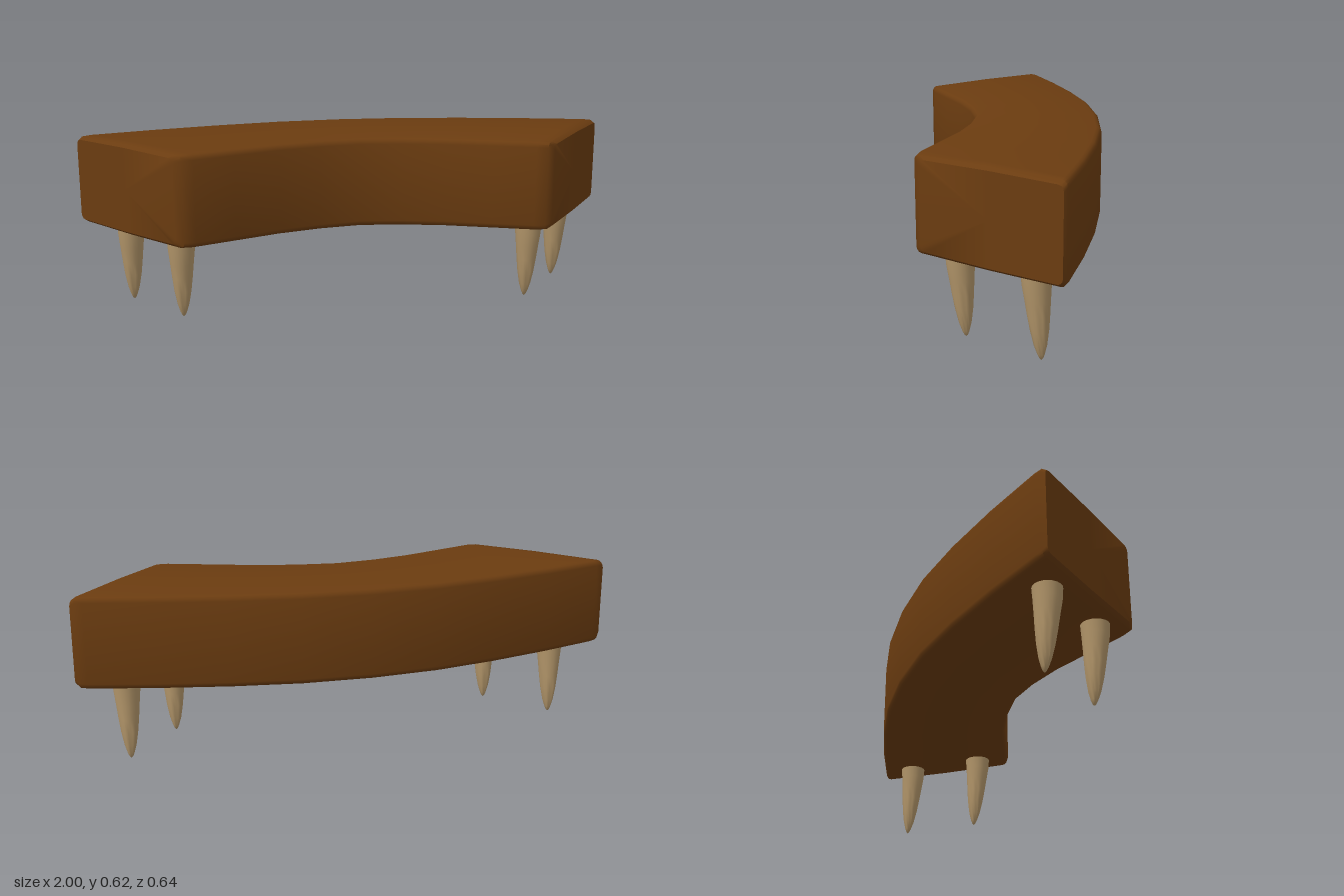
import * as THREE from 'three';
import { toCreasedNormals } from 'three/addons/utils/BufferGeometryUtils.js';

// Half plan of the seat, centre to end: [backX, backZ, frontX, frontZ, half height]
const PLAN = [
  [0, -0.32, 0, 0.135, 0.165],
  [0.25, -0.306, 0.15, 0.155, 0.165],
  [0.49, -0.265, 0.3, 0.195, 0.165],
  [0.73, -0.208, 0.46, 0.257, 0.165],
  [0.96, -0.142, 0.6, 0.311, 0.165],
  [0.988, -0.132, 0.64, 0.32, 0.163],
  [1.0, -0.12, 0.67, 0.305, 0.152],
];
const CENTRE_Y = 0.455;

// Rounded, slightly crowned section as [signed depth, signed height], front to top to back
function sectionPoints(halfDepth, halfHeight) {
  const r = 0.02, crown = 0.003, points = [];
  [[1, 1], [-1, 1], [-1, -1], [1, -1]].forEach(([sx, sy], q) => {
    for (let k = 0; k <= 3; k++) {
      const a = (q + k / 3) * Math.PI / 2;
      points.push([
        sx * (halfDepth - r) + r * Math.cos(a),
        sy * (halfHeight - crown - r) + r * Math.sin(a),
      ]);
    }
    if (q % 2 === 0) points.push([0, sy * halfHeight]);
  });
  return points;
}

// Curved seat block: sections lofted from the right end to the left end
function seatGeometry() {
  const mirrored = PLAN.slice(1).reverse().map(([bx, bz, fx, fz, h]) => [-bx, bz, -fx, fz, h]);
  const stations = [...mirrored, ...PLAN];
  const positions = [], index = [];
  let n = 0;
  for (const [bx, bz, fx, fz, h] of stations) {
    const half = Math.hypot(fx - bx, fz - bz) / 2;
    const loop = sectionPoints(half, h);
    n = loop.length;
    for (const [d, y] of loop) {
      const t = 0.5 + d / (2 * half);
      positions.push(bx + (fx - bx) * t, CENTRE_Y + y, bz + (fz - bz) * t);
    }
  }
  const last = stations.length - 1;
  for (let i = 0; i < last; i++) {
    for (let j = 0; j < n; j++) {
      const a = i * n + j, b = i * n + (j + 1) % n;
      index.push(a, a + n, b, b, a + n, b + n);
    }
  }
  // End caps
  for (const i of [0, last]) {
    const [bx, bz, fx, fz] = stations[i];
    const c = positions.length / 3;
    positions.push((bx + fx) / 2, CENTRE_Y, (bz + fz) / 2);
    for (let j = 0; j < n; j++) {
      const a = i * n + j, b = i * n + (j + 1) % n;
      if (i === 0) index.push(c, a, b);
      else index.push(c, b, a);
    }
  }
  const geometry = new THREE.BufferGeometry();
  geometry.setAttribute('position', new THREE.Float32BufferAttribute(positions, 3));
  geometry.setIndex(index);
  return toCreasedNormals(geometry, 0.75);
}

// Tapered leg with a rounded tip, leaning slightly toward the front at the top
function legGeometry() {
  const profile = [
    [0, 0], [0.006, 0.006], [0.012, 0.02], [0.021, 0.05], [0.03, 0.1],
    [0.036, 0.15], [0.041, 0.2], [0.0465, 0.25], [0.05, 0.3], [0, 0.3],
  ].map(([r, y]) => new THREE.Vector2(r, y));
  const geometry = new THREE.LatheGeometry(profile, 20);
  const p = geometry.attributes.position;
  for (let i = 0; i < p.count; i++) p.setZ(i, p.getZ(i) + 0.016 * Math.min(1, p.getY(i) / 0.25));
  return toCreasedNormals(geometry, 0.8);
}

export function createModel() {
  const model = new THREE.Group();
  model.name = 'curvedBench';

  const seat = new THREE.Mesh(seatGeometry(), new THREE.MeshStandardMaterial({ color: 0x6b3c10 }));
  seat.name = 'seat';
  model.add(seat);

  // Two legs under each end
  const legMaterial = new THREE.MeshStandardMaterial({ color: 0xb3966a });
  const leg = legGeometry();
  const legs = [
    ['frontLeftLeg', 0.627, 0.165], ['frontRightLeg', -0.648, 0.165],
    ['backLeftLeg', 0.823, -0.07], ['backRightLeg', -0.823, -0.07],
  ];
  for (const [name, x, z] of legs) {
    const mesh = new THREE.Mesh(leg, legMaterial);
    mesh.name = name;
    mesh.position.set(x, 0, z);
    model.add(mesh);
  }
  return model;
}
